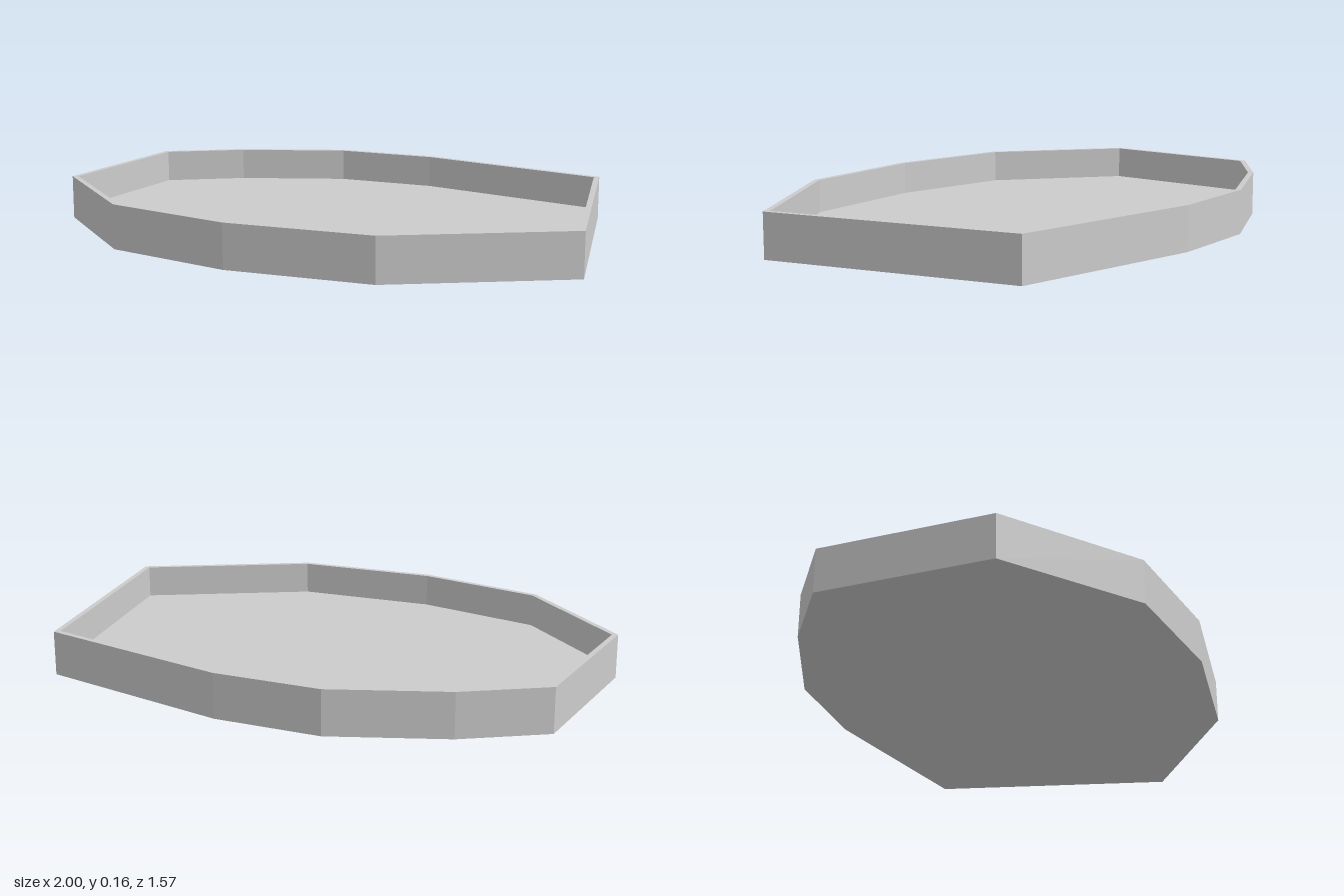
import * as THREE from 'three';

const HEIGHT = 0.16, FLOOR = 0.04, WALL = 0.02;

// Plan of the tray as (x, z), clockwise seen from above
const outline = [
  [-1, -0.175], [-0.72, -0.73], [-0.4, -0.787], [0.025, -0.775], [0.385, -0.63],
  [1, -0.205], [0.815, 0.7], [0.145, 0.782], [-0.355, 0.605], [-0.76, 0.33],
].map(([x, z]) => new THREE.Vector2(x, z));

// Mitred inset of a clockwise outline
function inset(points, d) {
  const n = points.length;
  const inward = (a, b) => new THREE.Vector2(a.y - b.y, b.x - a.x).normalize();
  return points.map((p, i) => {
    const n1 = inward(points[(i + n - 1) % n], p);
    const n2 = inward(p, points[(i + 1) % n]);
    return n1.clone().add(n2).multiplyScalar(d / (1 + n1.dot(n2))).add(p);
  });
}

// Joins closed sections in order; the first and last may collapse to a point
function skin(sections) {
  const pos = [];
  const tri = (...corners) => {
    const [a, b, c] = corners;
    if (a.equals(b) || b.equals(c) || a.equals(c)) return;
    corners.forEach((v) => pos.push(v.x, v.y, v.z));
  };
  for (let k = 0; k < sections.length - 1; k++) {
    const low = sections[k], high = sections[k + 1], n = low.length;
    for (let i = 0; i < n; i++) {
      const j = (i + 1) % n;
      tri(low[j], low[i], high[i]);
      tri(low[j], high[i], high[j]);
    }
  }
  const geometry = new THREE.BufferGeometry();
  geometry.setAttribute('position', new THREE.Float32BufferAttribute(pos, 3));
  geometry.computeVertexNormals();
  return geometry;
}

export function createModel() {
  const grey = new THREE.MeshStandardMaterial({ name: 'lightGrey', color: 0xcccccc, flatShading: true });
  const inner = inset(outline, WALL);
  const at = (points, y) => points.map((p) => new THREE.Vector3(p.x, y, p.y));
  const centre = (y) => outline.map(() => new THREE.Vector3(0, y, 0));

  // Underside, outer wall, rim, inner wall and floor as one closed skin
  const tray = new THREE.Mesh(skin([
    centre(0), at(outline, 0), at(outline, HEIGHT),
    at(inner, HEIGHT), at(inner, FLOOR), centre(FLOOR),
  ]), grey);
  tray.name = 'tray';

  const model = new THREE.Group();
  model.name = 'shallowTray';
  model.add(tray);
  return model;
}
